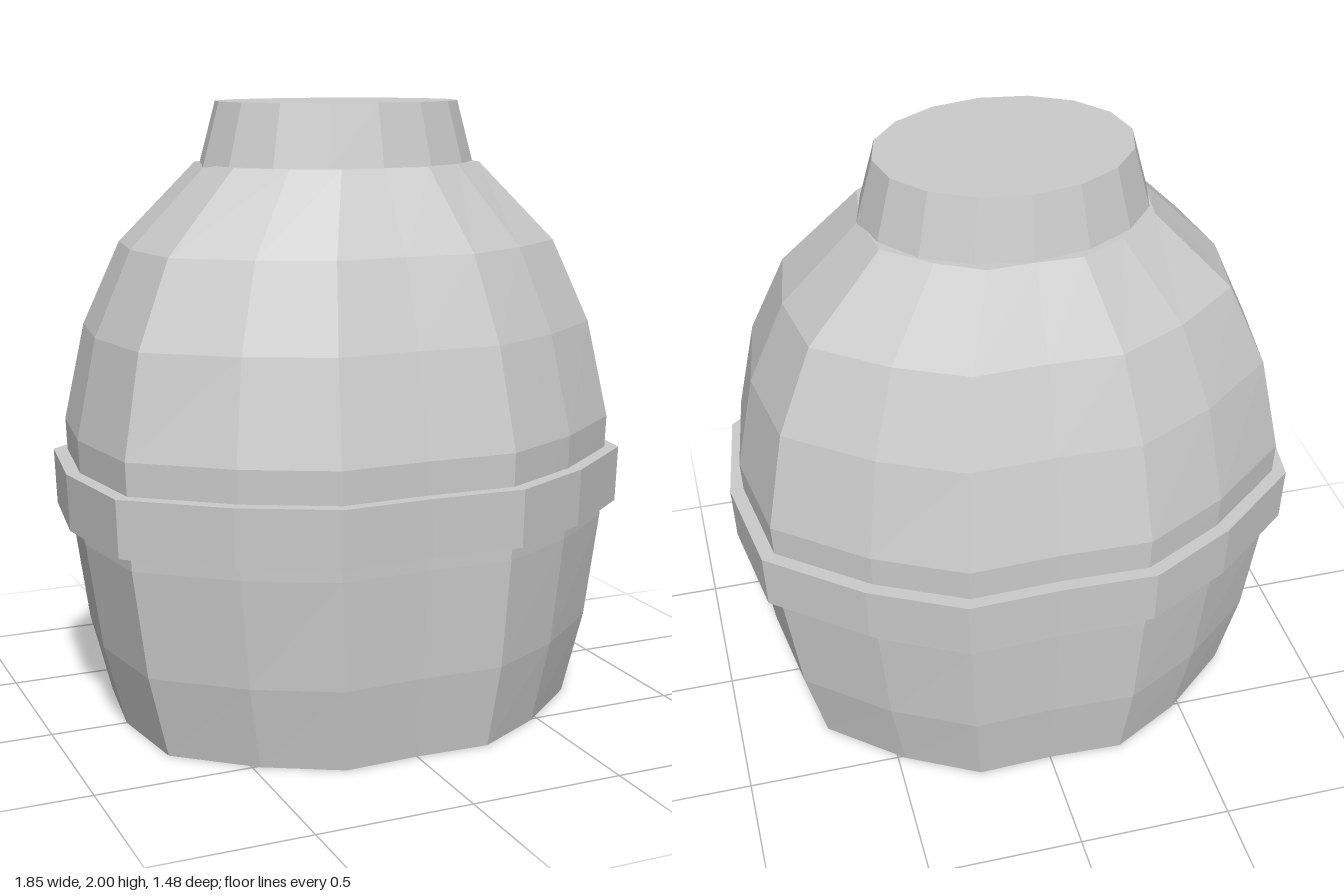
import * as THREE from 'three';

const material = new THREE.MeshStandardMaterial({ color: 0xcccccc, flatShading: true });

// Mirrors a quarter outline [x, z] (from +x round to +z) into a full loop.
function fullLoop(q) {
  const back = q.slice(0, -1).reverse().map(([x, z]) => [-x, z]);
  const half = [...q, ...back];
  return [...half, ...half.slice(1, -1).reverse().map(([x, z]) => [x, -z])];
}

// Skins levels [y, xRadius, zRadius] with a unit outline; closed at both ends.
function loft(name, outline, levels) {
  const n = outline.length;
  const pos = [];
  const index = [];
  for (const [y, rx, rz] of levels) {
    for (const [x, z] of outline) pos.push(x * rx, y, z * rz);
  }
  for (let l = 0; l < levels.length - 1; l++) {
    for (let i = 0; i < n; i++) {
      const a = l * n + i;
      const b = l * n + ((i + 1) % n);
      index.push(a, a + n, b, b, a + n, b + n);
    }
  }
  // End caps as fans round a centre point
  const last = (levels.length - 1) * n;
  const c = pos.length / 3;
  pos.push(0, levels[0][0], 0, 0, levels[levels.length - 1][0], 0);
  for (let i = 0; i < n; i++) {
    const j = (i + 1) % n;
    index.push(c, i, j, c + 1, last + j, last + i);
  }
  const g = new THREE.BufferGeometry();
  g.setAttribute('position', new THREE.Float32BufferAttribute(pos, 3));
  g.setIndex(index);
  const flat = g.toNonIndexed();
  flat.computeVertexNormals();
  const mesh = new THREE.Mesh(flat, material);
  mesh.name = name;
  return mesh;
}

export function createModel() {
  const group = new THREE.Group();
  group.name = 'barrelJar';

  // Sixteen-sided outline: flat-cornered oval, slightly dished front and back
  const oval = fullLoop([[1, 0], [0.943, 0.49], [0.635, 0.8], [0.325, 1], [0, 0.987]]);
  const ellipse = Array.from({ length: 16 }, (_, i) => {
    const a = (i * Math.PI) / 8;
    return [Math.cos(a), Math.sin(a)];
  });

  // Bulging body
  group.add(loft('body', oval, [
    [0, 0.75, 0.635],
    [0.27, 0.82, 0.675],
    [0.62, 0.87, 0.695],
    [0.96, 0.885, 0.7],
    [1.28, 0.82, 0.625],
    [1.55, 0.7, 0.525],
    [1.805, 0.448, 0.372],
  ]));

  // Raised belt round the middle
  group.add(loft('belt', oval, [[0.67, 0.918, 0.735], [0.855, 0.925, 0.74]]));

  // Tapered neck
  group.add(loft('neck', ellipse, [[1.798, 0.457, 0.363], [2, 0.402, 0.318]]));

  return group;
}
